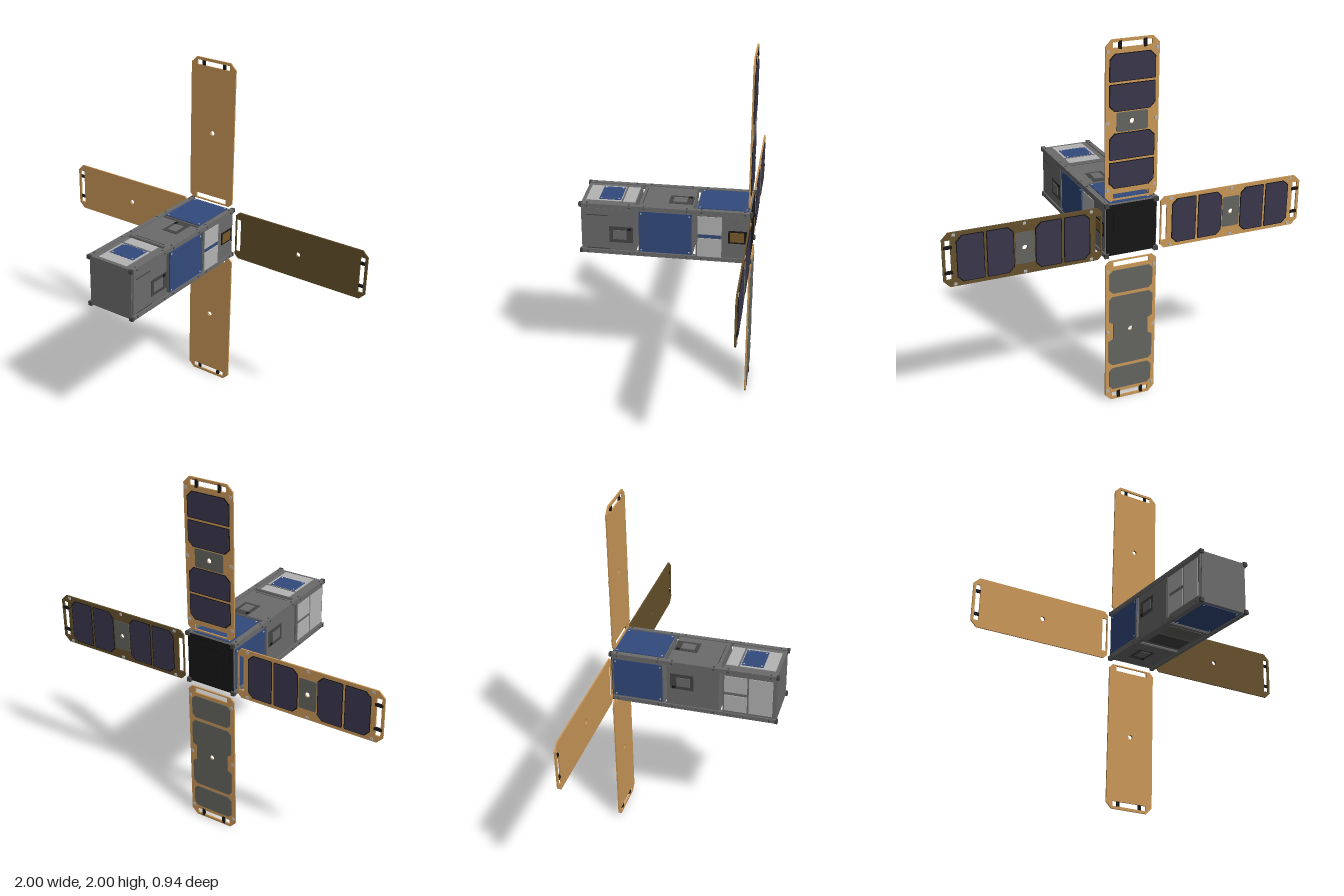
import * as THREE from 'three';

const mat = (name, color, side = THREE.FrontSide) => {
  const m = new THREE.MeshStandardMaterial({ color, side });
  m.name = name;
  return m;
};

export function createModel() {
  const M = {
    orange: mat('amber board', 0xc99758),
    brown: mat('dark brown board', 0x66502c),
    grey: mat('frame grey', 0x6b6b6b),
    dark: mat('dark grey', 0x444444),
    light: mat('light grey', 0xb4b4b4),
    blue: mat('blue cell', 0x324a7c),
    navy: mat('violet navy cell', 0x3a364c),
    pad: mat('pad grey', 0x63655f),
    black: mat('black', 0x161616),
    bronze: mat('bronze', 0x7a5a2c),
  };
  const root = new THREE.Group();
  root.name = 'satellite';
  const CY = 1.005;

  const mesh = (parent, name, geo, m, x = 0, y = 0, z = 0) => {
    const o = new THREE.Mesh(geo, m);
    o.name = name;
    o.position.set(x, y, z);
    parent.add(o);
    return o;
  };
  const box = (parent, name, m, x0, x1, y0, y1, z0, z1) =>
    mesh(parent, name, new THREE.BoxGeometry(x1 - x0, y1 - y0, z1 - z0), m,
      (x0 + x1) / 2, (y0 + y1) / 2, (z0 + z1) / 2);

  // Rectangle with separate corner cuts at the lower and upper end
  const cutRect = (w, y0, y1, c0, c1) => new THREE.Shape([
    [-w + c0, y0], [w - c0, y0], [w, y0 + c0], [w, y1 - c1],
    [w - c1, y1], [-w + c1, y1], [-w, y1 - c1], [-w, y0 + c0],
  ].map(p => new THREE.Vector2(...p)));
  const slot = (w, y0, y1) => new THREE.Path([[-w, y0], [-w, y1], [w, y1], [w, y0]]
    .map(p => new THREE.Vector2(...p)));
  const bore = () => new THREE.Path().absarc(0, 0.58, 0.014, 0, Math.PI * 2, true);
  const extrude = (shape, depth) =>
    new THREE.ExtrudeGeometry(shape, { depth, bevelEnabled: false, curveSegments: 12 });

  // ---- Body: three units with open gaps, held by four corner rails ----
  const body = new THREE.Group();
  body.name = 'body';
  body.position.y = CY;
  root.add(body);
  const units = [['rearUnit', -0.455, -0.165], ['middleUnit', -0.146, 0.146], ['frontUnit', 0.165, 0.455]];
  for (const [n, z0, z1] of units) box(body, n, M.grey, -0.142, 0.142, -0.142, 0.142, z0, z1);
  for (const sx of [-1, 1]) for (const sy of [-1, 1]) {
    mesh(body, 'rail', new THREE.BoxGeometry(0.024, 0.024, 0.92), M.grey, sx * 0.137, sy * 0.137, 0);
    for (const z of [-0.46, 0.462])
      mesh(body, 'railFoot', new THREE.BoxGeometry(0.022, 0.022, 0.016), M.dark, sx * 0.139, sy * 0.139, z);
  }
  box(body, 'frontCover', M.grey, -0.136, 0.136, -0.145, 0.145, 0.452, 0.46);

  // Stepped black rear plate
  [[0.14, 0.459], [0.1, 0.462], [0.06, 0.465]].forEach(([r, z]) =>
    box(body, 'rearPlate', M.black, -r, r, -r, r, -z, -z + 0.01));

  // ---- Body sides: local x runs across the side, local y points outward ----
  const makeSide = (name, angle) => {
    const g = new THREE.Group();
    g.name = name;
    g.rotation.z = angle;
    body.add(g);
    for (const [, z0, z1] of units) {
      // Cover sheet and edge screws on each unit
      box(g, 'coverSheet', M.grey, -0.122, 0.122, 0.14, 0.145, z0 + 0.004, z1 - 0.004);
      for (const s of [-1, 1]) for (const z of [z0 + 0.03, z1 - 0.03])
        mesh(g, 'screw', new THREE.CylinderGeometry(0.005, 0.005, 0.004, 8), M.dark, s * 0.137, 0.15, z);
    }
    return (n, m, s0, s1, z0, z1, top = 0.149) => box(g, n, m, s0, s1, 0.14, top, z0, z1);
  };
  const solar = (put, s, z0, z1) => {
    put('solarSheet', M.blue, -s, s, z0, z1, 0.149);
    for (const e of [-1, 1]) for (const z of [z0 + 0.012, z1 - 0.012])
      put('solarFastener', M.light, e * (s - 0.012) - 0.004, e * (s - 0.012) + 0.004, z - 0.004, z + 0.004, 0.151);
  };
  const hatch = (put, zc) => {
    put('hatchOpening', M.dark, -0.02, 0.075, zc - 0.065, zc + 0.065, 0.147);
    put('hatchBlock', M.grey, 0.0, 0.055, zc - 0.03, zc + 0.045, 0.15);
    put('hatchLug', M.black, -0.015, 0.0, zc - 0.055, zc - 0.035, 0.15);
  };

  // Top
  let put = makeSide('topSide', 0);
  solar(put, 0.115, -0.445, -0.17);
  hatch(put, -0.075);
  put('accessLine', M.dark, -0.1, 0.1, 0.125, 0.129, 0.146);
  put('lightPlate', M.light, -0.092, 0.092, 0.17, 0.44, 0.147);
  put('plateBand', M.grey, -0.092, 0.092, 0.236, 0.245, 0.1485);
  solar(put, 0.078, 0.25, 0.37);

  // Left side of the model
  put = makeSide('leftSide', -Math.PI / 2);
  solar(put, 0.12, -0.143, 0.143);
  hatch(put, 0.24);
  put('groove', M.dark, -0.085, -0.08, 0.31, 0.43, 0.147);
  put('groove', M.dark, 0.115, 0.12, 0.3, 0.43, 0.147);
  put('lightPlate', M.light, -0.115, -0.01, -0.305, -0.175);
  put('lightPlate', M.light, 0.015, 0.125, -0.305, -0.175);
  put('plateSeam', M.blue, -0.006, 0.01, -0.3, -0.18);
  put('sensorRecess', M.black, -0.04, 0.035, -0.44, -0.34, 0.147);
  put('sensor', M.bronze, -0.03, 0.025, -0.425, -0.35, 0.151);

  // Right side of the model
  put = makeSide('rightSide', Math.PI / 2);
  solar(put, 0.115, -0.445, -0.17);
  hatch(put, -0.06);
  put('lightPlate', M.light, -0.11, 0.11, 0.31, 0.44);
  put('lightPlate', M.light, -0.11, -0.01, 0.175, 0.3);
  put('lightPlate', M.light, 0.01, 0.11, 0.175, 0.3);

  // Underside
  put = makeSide('underside', Math.PI);
  solar(put, 0.115, 0.17, 0.44);
  hatch(put, -0.3);
  put('accessPlate', M.dark, -0.1, 0.1, -0.12, 0.0, 0.147);
  put('accessPlate', M.pad, -0.1, 0.1, 0.02, 0.12, 0.147);

  // ---- Four deployed wings, each built upward then turned about the body ----
  const makeWing = (name, angle, z, board, padded) => {
    const g = new THREE.Group();
    g.name = name;
    g.rotation.z = angle;
    g.position.set(0, 1, z);
    root.add(g);
    const outline = cutRect(0.144, 0.166, 1, 0.022, 0.034);
    outline.holes.push(slot(0.1, 0.173, 0.202), slot(0.105, 0.957, 0.985), bore());
    mesh(g, 'wingBoard', extrude(outline, 0.008), board, 0, 0, -0.004);
    for (const s of [-1, 1]) {
      box(g, 'slotPost', M.black, s * 0.067 - 0.008, s * 0.067 + 0.008, 0.95, 0.992, -0.007, 0.003);
      // Small clips along the edge of the board
      for (const u of [0.225, 0.58, 0.94])
        box(g, 'clip', M.light, s * 0.131 - 0.007, s * 0.131 + 0.007, u - 0.008, u + 0.008, -0.008, -0.003);
    }
    const plate = (n, m, shape) => mesh(g, n, extrude(shape, 0.004), m, 0, 0, -0.0075);
    if (padded) {
      plate('endPad', M.pad, cutRect(0.122, 0.222, 0.355, 0.02, 0.02));
      plate('endPad', M.pad, cutRect(0.122, 0.805, 0.935, 0.02, 0.02));
      // Middle pad with a notch in each side
      const half = [[0.105, 0.375], [0.125, 0.395], [0.125, 0.52], [0.1, 0.535],
        [0.1, 0.625], [0.125, 0.64], [0.125, 0.765], [0.105, 0.785]];
      const mid = new THREE.Shape([...half, ...half.map(([x, y]) => [-x, y]).reverse()]
        .map(p => new THREE.Vector2(...p)));
      mid.holes.push(bore());
      plate('middlePad', M.pad, mid);
    } else {
      for (const [u0, u1, c0, c1] of [[0.235, 0.368, 0.028, 0.004], [0.388, 0.52, 0.004, 0.028],
        [0.64, 0.772, 0.028, 0.004], [0.792, 0.925, 0.004, 0.028]]) {
        plate('cellRim', M.black, cutRect(0.124, u0 - 0.004, u1 + 0.004, c0, c1)).position.z = -0.007;
        plate('solarCell', M.navy, cutRect(0.12, u0, u1, c0, c1)).position.z = -0.0085;
      }
      const mid = cutRect(0.085, 0.53, 0.63, 0.006, 0.006);
      mid.holes.push(bore());
      plate('centrePad', M.pad, mid);
    }
  };
  makeWing('topWing', 0, -0.446, M.orange, false);
  makeWing('rightWing', Math.PI / 2, -0.453, M.orange, false);
  makeWing('leftWing', -Math.PI / 2, -0.458, M.brown, false);
  makeWing('bottomWing', Math.PI, -0.458, M.orange, true);

  return root;
}
